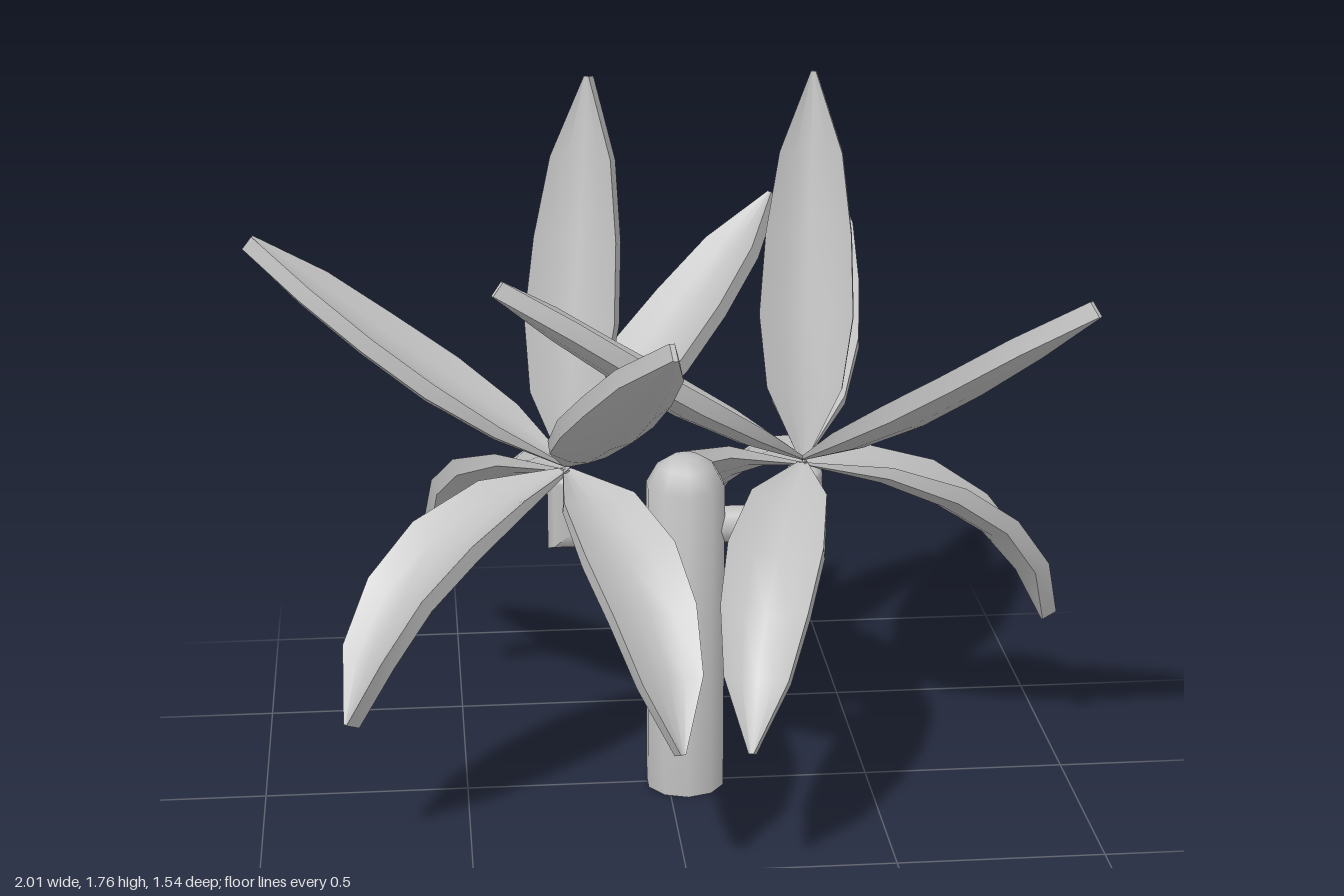
import * as THREE from 'three';
import { toCreasedNormals } from 'three/addons/utils/BufferGeometryUtils.js';

const THICKNESS = [0.006, 0.03, 0.042, 0.042, 0.042, 0.04];
const WIDTHS = [0.02, 0.18, 0.225, 0.205, 0.15, 0.012];
const ACROSS = [-1, -0.5, 0, 0.5, 1];

// Leaf centre lines as [outward, up] from the crown centre
const SPREADING = [[0, 0], [0.16, 0.085], [0.32, 0.18], [0.475, 0.285], [0.63, 0.4], [0.78, 0.515]];
const DROOPING = [[0, -0.012], [0.19, -0.05], [0.36, -0.122], [0.495, -0.215], [0.592, -0.335], [0.662, -0.485]];
const UPRIGHT = [[0, 0], [0.035, 0.17], [0.078, 0.34], [0.125, 0.53], [0.168, 0.72], [0.205, 0.91]];

// Thick, cupped, pointed leaf growing along +x
function leafGeometry(path) {
  const position = [], index = [];
  const point = (i, s, side) => {
    const a = path[Math.max(i - 1, 0)], b = path[Math.min(i + 1, path.length - 1)];
    const d = new THREE.Vector2(b[0] - a[0], b[1] - a[1]).normalize();
    const lift = side * THICKNESS[i] / 2 + 0.18 * WIDTHS[i] * (s * s - 0.3);
    return [path[i][0] - d.y * lift, path[i][1] + d.x * lift, s * WIDTHS[i] / 2];
  };
  // Each face has its own corners so the rims stay sharp
  const grid = (rows) => {
    const start = position.length / 3, n = rows[0].length;
    rows.forEach((row) => row.forEach((p) => position.push(...p)));
    for (let i = 0; i < rows.length - 1; i++) {
      for (let j = 0; j < n - 1; j++) {
        const a = start + i * n + j, b = a + 1, c = a + n, d = c + 1;
        index.push(a, b, c, b, d, c);
      }
    }
  };
  const rows = path.map((_, i) => i);
  const last = path.length - 1;
  const back = [...ACROSS].reverse();
  grid(rows.map((i) => ACROSS.map((s) => point(i, s, 1))));
  grid(rows.map((i) => back.map((s) => point(i, s, -1))));
  grid(rows.map((i) => [point(i, 1, 1), point(i, 1, -1)]));
  grid(rows.map((i) => [point(i, -1, -1), point(i, -1, 1)]));
  grid([1, -1].map((k) => ACROSS.map((s) => point(last, s, k))));
  grid([-1, 1].map((k) => ACROSS.map((s) => point(0, s, k))));
  const geometry = new THREE.BufferGeometry();
  geometry.setAttribute('position', new THREE.Float32BufferAttribute(position, 3));
  geometry.setIndex(index);
  geometry.computeVertexNormals();
  return geometry;
}

// Upright pipe whose lower end is cut at 45 degrees for an elbow
function mitredPipe(radius, length) {
  const geometry = new THREE.CylinderGeometry(radius, radius, length, 8, 1, true);
  geometry.translate(0, length / 2, 0);
  const p = geometry.attributes.position;
  for (let i = 0; i < p.count; i++) {
    if (p.getY(i) < length / 2) p.setY(i, -p.getX(i));
  }
  return geometry;
}

export function createModel() {
  const model = new THREE.Group();
  model.name = 'twoCrownedPlant';
  const grey = new THREE.MeshStandardMaterial({ color: 0xc0c0c0 });
  grey.name = 'light grey';
  const add = (parent, name, geometry) => {
    const mesh = new THREE.Mesh(geometry, grey);
    mesh.name = name;
    parent.add(mesh);
    return mesh;
  };

  // Trunk with a rounded top
  const middle = 0.043;
  const profile = [[0, 0], [0.098, 0], [0.098, 0.79], [0.07, 0.84], [0.035, 0.862], [0, 0.866]]
    .map(([x, y]) => new THREE.Vector2(x, y));
  const trunk = add(model, 'trunk', toCreasedNormals(new THREE.LatheGeometry(profile, 10), 1.1));
  trunk.position.set(middle, 0, 0.004);

  const leaves = {
    spreadingLeaf: leafGeometry(SPREADING),
    droopingLeaf: leafGeometry(DROOPING),
    uprightLeaf: leafGeometry(UPRIGHT),
  };

  // Elbowed branch and crown on each side; angles run from +x towards +z
  const reach = 0.287, low = 0.682, rise = 0.125, radius = 0.048;
  const crowns = [
    { name: 'left', side: 1, spreadingLeaf: [42, 162, 282], droopingLeaf: [107, 246, 349], uprightLeaf: [281] },
    { name: 'right', side: -1, spreadingLeaf: [76, 196, 316], droopingLeaf: [71, 143, 244], uprightLeaf: [291] },
  ];
  for (const crown of crowns) {
    const x = middle + crown.side * reach;
    const branch = new THREE.Group();
    branch.name = crown.name + 'Branch';
    branch.position.set(x, low, 0);
    branch.rotation.y = crown.side > 0 ? 0 : Math.PI;
    add(branch, 'branchRiser', mitredPipe(radius, rise));
    add(branch, 'branchArm', mitredPipe(radius, reach - 0.05).rotateY(Math.PI).rotateZ(Math.PI / 2));
    const tip = add(branch, 'branchTip', new THREE.SphereGeometry(radius, 8, 4, 0, Math.PI * 2, 0, Math.PI / 2));
    tip.position.y = rise;
    tip.scale.y = 0.5;
    model.add(branch);

    const group = new THREE.Group();
    group.name = crown.name + 'Crown';
    group.position.set(x, 0.845, 0);
    for (const kind in leaves) {
      for (const angle of crown[kind]) {
        add(group, kind, leaves[kind]).rotation.y = -THREE.MathUtils.degToRad(angle);
      }
    }
    model.add(group);
  }
  return model;
}
